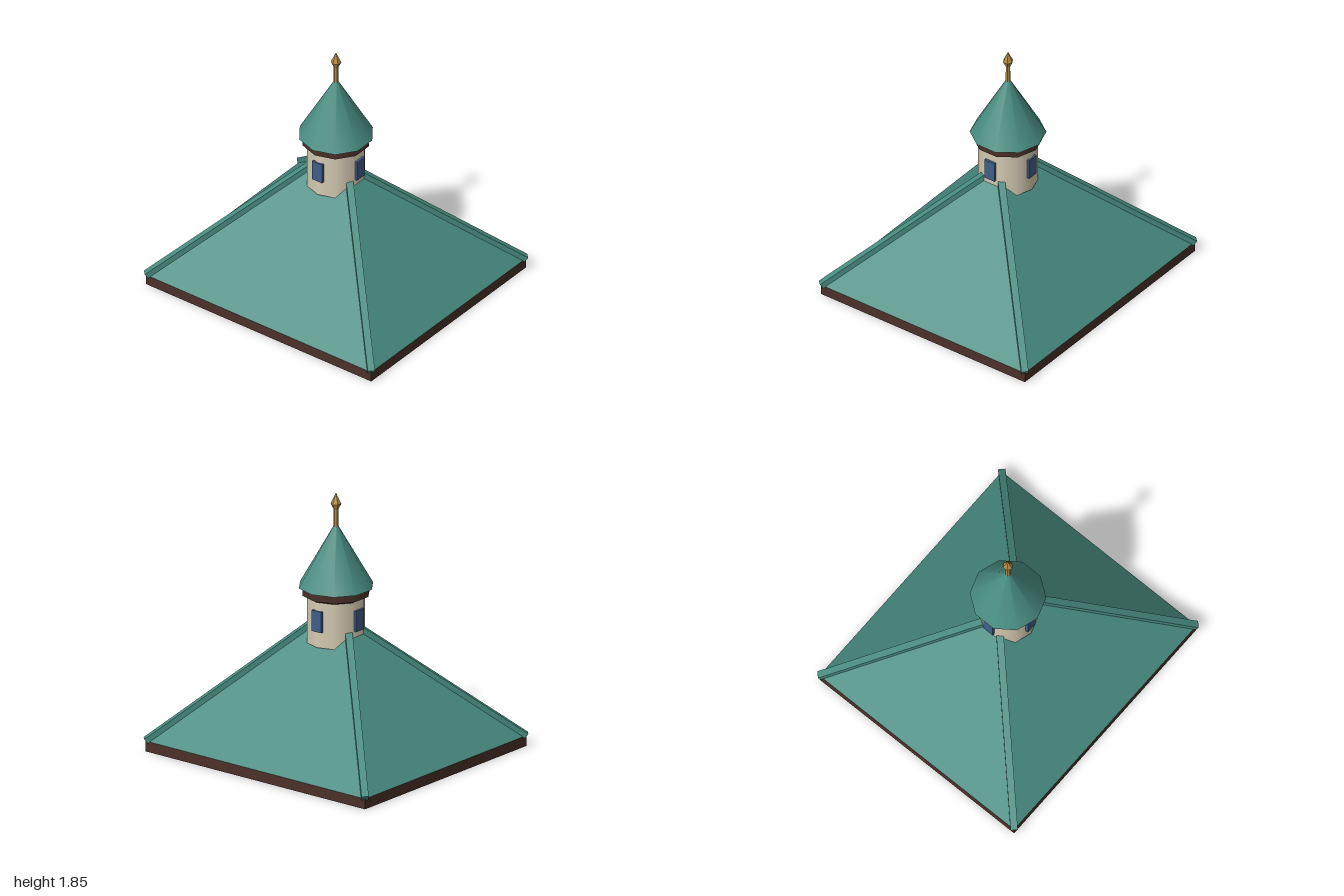
import * as THREE from 'three';

const HX = 0.872, HZ = 0.972;      // half sizes of the eaves
const EAVE = 0.075, RIDGE = 0.953; // heights of eaves and ridge
const RZ = HZ - HX;                // half length of the ridge

const mat = (name, color) => {
  const m = new THREE.MeshStandardMaterial({ color });
  m.name = name;
  return m;
};

// Four roof planes meeting in a short ridge along z
function hipRoofGeometry() {
  const a = [-HX, EAVE, HZ], b = [HX, EAVE, HZ], c = [HX, EAVE, -HZ], d = [-HX, EAVE, -HZ];
  const f = [0, RIDGE, RZ], k = [0, RIDGE, -RZ];
  const tris = [a, b, f, b, c, k, b, k, f, c, d, k, d, a, f, d, f, k];
  const g = new THREE.BufferGeometry();
  g.setAttribute('position', new THREE.Float32BufferAttribute(tris.flat(), 3));
  g.computeVertexNormals();
  return g;
}

// Cylinder or cone between two heights, with a corner on the x axis
function prism(rTop, rBottom, y0, y1, sides, open = false) {
  const g = new THREE.CylinderGeometry(rTop, rBottom, y1 - y0, sides, 1, open, Math.PI / 2);
  return g.translate(0, (y0 + y1) / 2, 0);
}

export function createModel() {
  const group = new THREE.Group();
  const copper = mat('copper green', 0x488c80);
  const wood = mat('dark wood', 0x4a3028);
  const plaster = mat('cream plaster', 0xd6cbb3);
  const glass = mat('window blue', 0x3f5e88);
  const gold = mat('gold', 0xb08a45);
  const goldFacets = gold;
  goldFacets.flatShading = true;

  const add = (name, geometry, material) => {
    const m = new THREE.Mesh(geometry, material);
    m.name = name;
    group.add(m);
    return m;
  };

  // Eaves board and main roof
  add('eavesBoard', new THREE.BoxGeometry(HX * 2, EAVE, HZ * 2).translate(0, EAVE / 2, 0), wood);
  add('hipRoof', hipRoofGeometry(), copper);

  // Raised caps along the four hips
  for (const sx of [-1, 1]) for (const sz of [-1, 1]) {
    const low = new THREE.Vector3(sx * HX, EAVE + 0.004, sz * HZ);
    const high = new THREE.Vector3(0, RIDGE + 0.004, sz * RZ);
    const cap = add('hipCap', new THREE.BoxGeometry(0.05, 0.04, low.distanceTo(high)), copper);
    cap.position.copy(low).lerp(high, 0.5);
    cap.lookAt(high);
  }

  // Turret with cornice and spire
  add('turretWall', prism(0.206, 0.206, 0.785, 1.13, 10), plaster);
  add('corniceUnderside', prism(0.238, 0.208, 1.113, 1.128, 10), wood);
  add('cornice', prism(0.238, 0.238, 1.128, 1.183, 10), wood);
  add('spire', prism(0.016, 0.263, 1.183, 1.615, 10), copper);

  // One window on each side of the turret
  for (let i = 0; i < 4; i++) {
    const g = new THREE.BoxGeometry(0.084, 0.15, 0.024).translate(0, 0.975, 0.201);
    add('window', g.rotateY(i * Math.PI / 2), glass);
  }

  // Finial
  add('finialRod', prism(0.016, 0.018, 1.59, 1.75, 6), gold);
  add('finialBulb', prism(0.037, 0.017, 1.735, 1.775, 6), goldFacets);
  add('finialTip', prism(0, 0.037, 1.775, 1.853, 6, true), goldFacets);

  return group;
}
